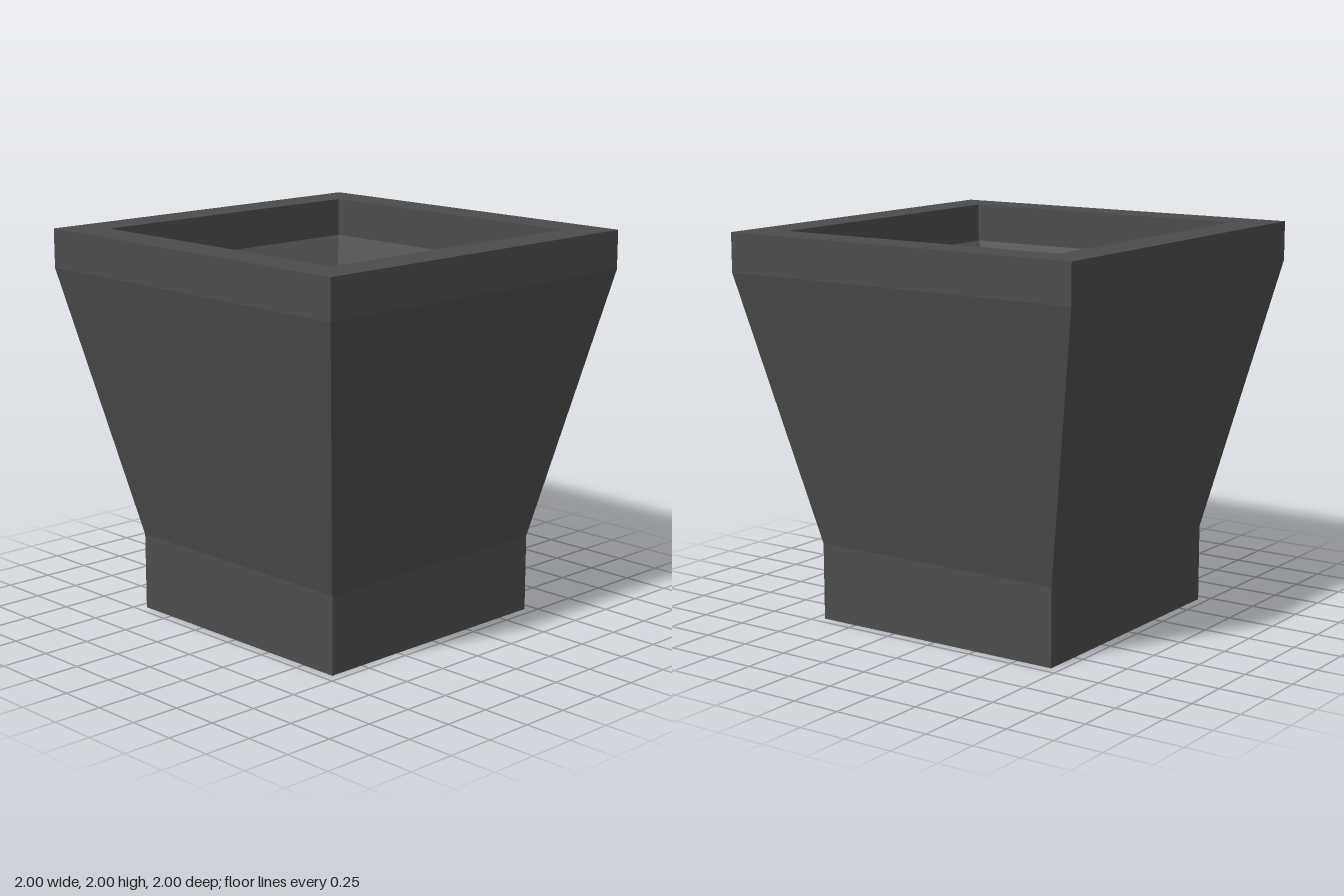
import * as THREE from 'three';

const stone = new THREE.MeshStandardMaterial({ color: 0x4c4c4c });
stone.name = 'dark grey stone';

// Square shell swept around y; profile is [half width, height], outside going up
function squareShell(name, profile) {
  const points = profile.map(([w, y]) => new THREE.Vector2(w * Math.SQRT2, y));
  const geometry = new THREE.LatheGeometry(points, 4, Math.PI / 4).toNonIndexed();
  geometry.computeVertexNormals(); // flat facets
  const mesh = new THREE.Mesh(geometry, stone);
  mesh.name = name;
  return mesh;
}

export function createModel() {
  const planter = new THREE.Group();
  planter.name = 'squarePlanter';
  planter.add(
    // Closed underside and straight foot
    squareShell('foot', [[0, 0], [0.7, 0], [0.7, 0.4]]),
    // Flared walls
    squareShell('body', [[0.7, 0.4], [1, 1.8]]),
    // Upright rim with a flat top and straight inner face
    squareShell('rim', [[1, 1.8], [1, 2], [0.8, 2], [0.8, 1.8]]),
    // Sloped hollow down to a flat floor
    squareShell('basin', [[0.8, 1.8], [0.455, 1.47], [0, 1.47]]),
  );
  return planter;
}
